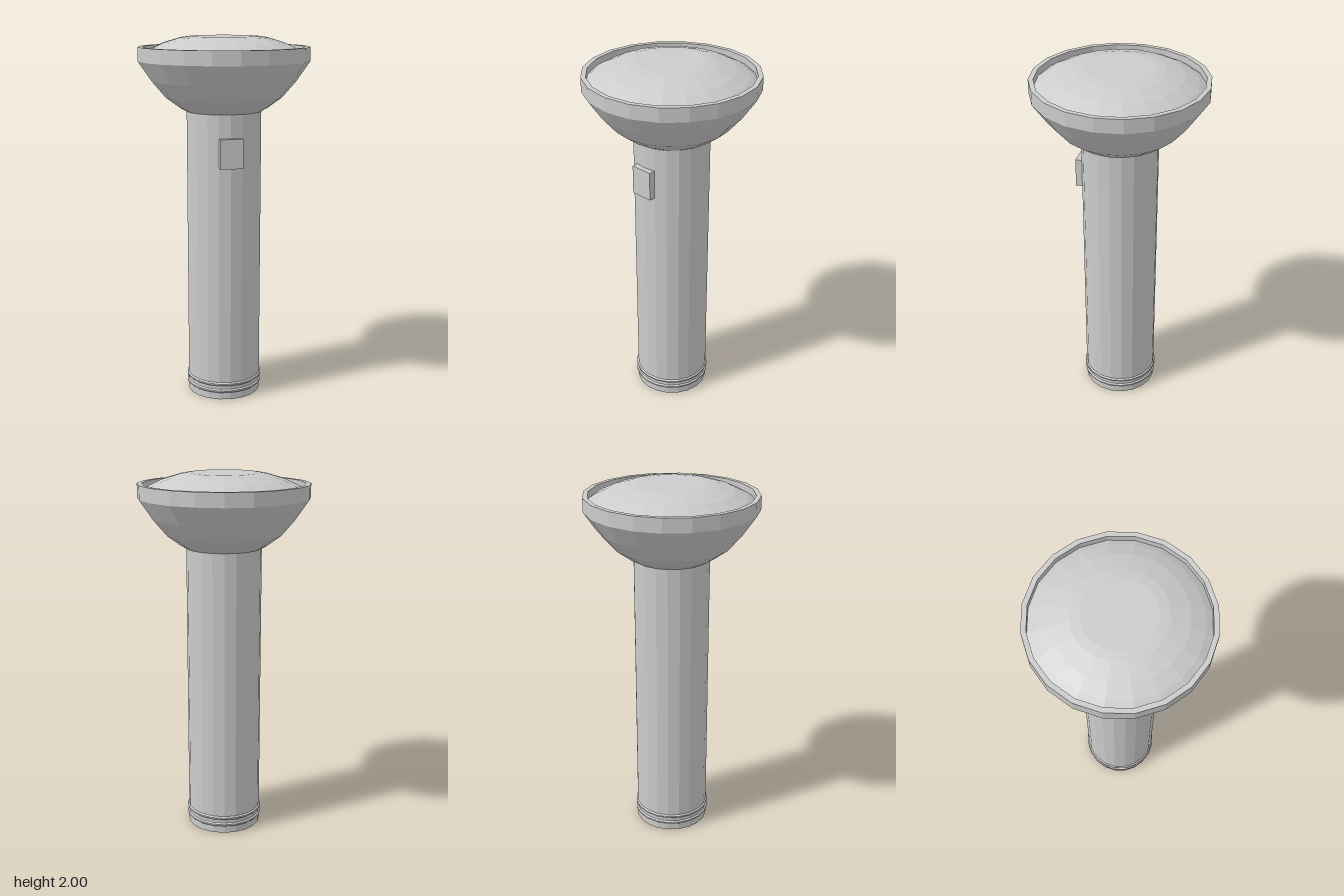
import * as THREE from 'three';

const SIDES = 20;
const material = new THREE.MeshStandardMaterial({ color: 0xcccccc, flatShading: true });

// Faceted solid of revolution; profile points are [radius, y], outside listed bottom to top
function turned(name, profile) {
  const points = profile.map(([r, y]) => new THREE.Vector2(r, y));
  const mesh = new THREE.Mesh(new THREE.LatheGeometry(points, SIDES), material);
  mesh.name = name;
  return mesh;
}

export function createModel() {
  const group = new THREE.Group();
  group.name = 'flashlight';

  // Straight handle with a closed bottom
  group.add(turned('handle', [[0, 0], [0.204, 0], [0.204, 1.61]]));

  // Two thin raised grip rings near the base
  for (const y of [0.05, 0.09]) {
    group.add(turned('gripRing', [[0.2, y - 0.014], [0.212, y - 0.004], [0.212, y + 0.004], [0.2, y + 0.014]]));
  }

  // Flared head with an upright rim and a recessed inner lip
  group.add(turned('head', [
    [0.2, 1.6], [0.24, 1.622], [0.315, 1.677], [0.39, 1.765], [0.462, 1.87],
    [0.462, 1.945], [0.436, 1.945], [0.436, 1.9],
  ]));

  // Shallow domed lens
  group.add(turned('lens', [
    [0.437, 1.908], [0.4, 1.932], [0.33, 1.965], [0.235, 1.993], [0.185, 2], [0, 2],
  ]));

  // Switch block set into the handle, turned toward the front right
  const angle = -Math.PI / 5;
  const button = new THREE.Mesh(new THREE.BoxGeometry(0.124, 0.158, 0.06), material);
  button.name = 'switch';
  button.position.set(Math.sin(angle) * 0.2, 1.398, Math.cos(angle) * 0.2);
  button.rotation.y = angle;
  group.add(button);

  return group;
}
